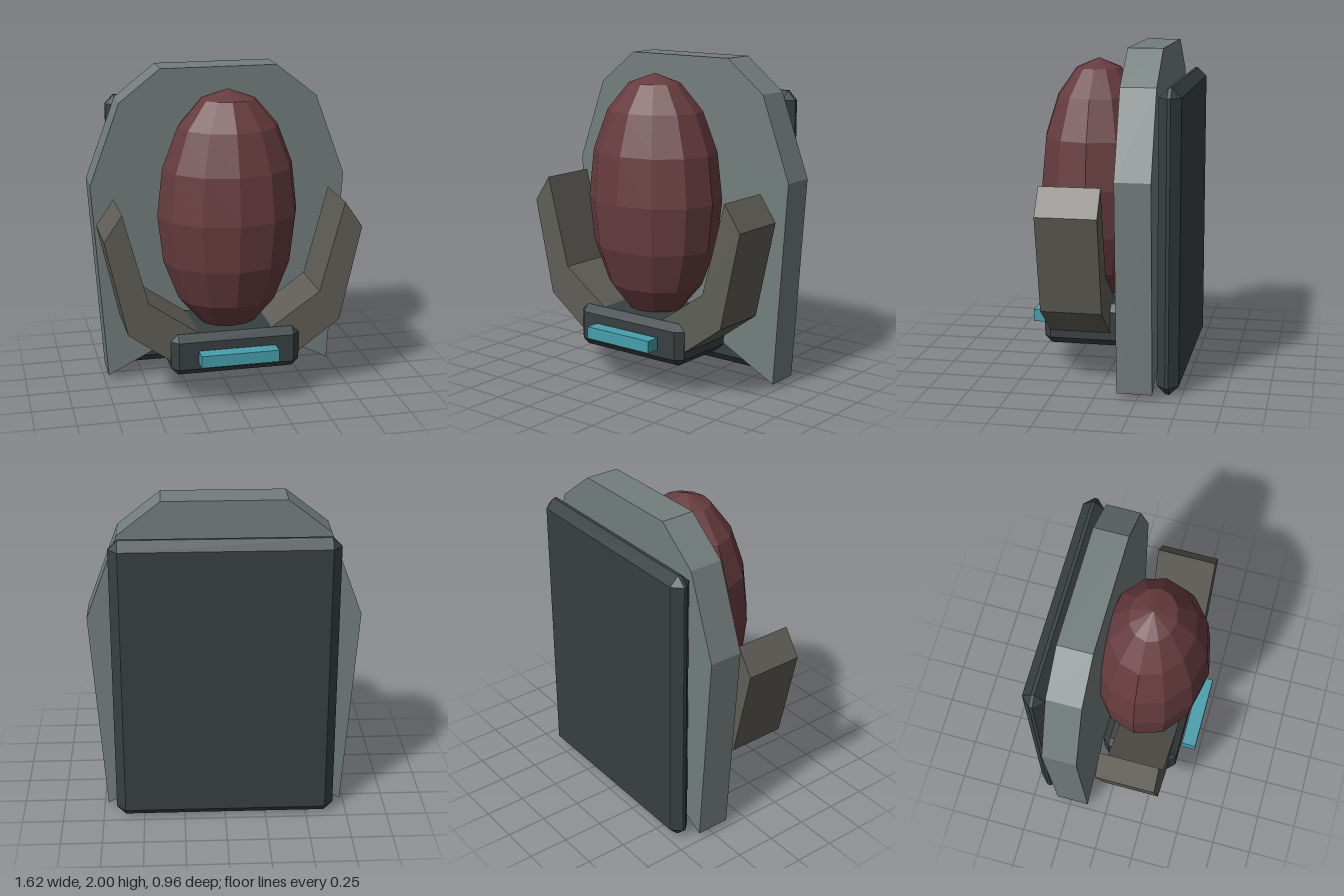
import * as THREE from 'three';
import { ConvexGeometry } from 'three/addons/geometries/ConvexGeometry.js';

const mat = (color) => new THREE.MeshStandardMaterial({ color, flatShading: true });

// Box with every edge chamfered by b, spanning min to max
function chamferBox(min, max, b) {
  const c = min.map((v, i) => (v + max[i]) / 2);
  const h = min.map((v, i) => (max[i] - v) / 2);
  const points = [];
  for (const sx of [-1, 1]) for (const sy of [-1, 1]) for (const sz of [-1, 1]) {
    const s = [sx, sy, sz];
    for (let axis = 0; axis < 3; axis++) {
      points.push(new THREE.Vector3(...s.map((v, i) => c[i] + v * (i === axis ? h[i] : h[i] - b))));
    }
  }
  return new ConvexGeometry(points);
}

// Front outline extruded between two depths
function slab(outline, zBack, zFront) {
  const shape = new THREE.Shape(outline.map(([x, y]) => new THREE.Vector2(x, y)));
  const geo = new THREE.ExtrudeGeometry(shape, { depth: zFront - zBack, bevelEnabled: false });
  return geo.translate(0, 0, zBack);
}

export function createModel() {
  const group = new THREE.Group();
  const add = (name, geo, material) => {
    const mesh = new THREE.Mesh(geo, material);
    mesh.name = name;
    group.add(mesh);
    return mesh;
  };
  const dark = mat(0x384042);
  const shellGrey = mat(0x737e7d);
  const armGrey = mat(0x5f5e57);

  // Flat plate at the back
  add('backPlate', chamferBox([-0.67, 0, -0.48], [0.67, 1.8, -0.35], 0.055), dark);

  // Faceted shield with two pointed feet
  const half = [[0.3, 0.25], [0.725, 0.03], [0.81, 1.29], [0.62, 1.8], [0.365, 2]];
  const mirrored = half.map(([x, y]) => [-x, y]).reverse();
  add('shield', slab([...half, ...mirrored], -0.34, -0.13), shellGrey);

  // Egg-shaped body
  const egg = new THREE.SphereGeometry(1, 12, 8).scale(0.435, 0.76, 0.36);
  add('eggBody', egg, mat(0x673c3f)).position.set(0, 1.15, 0.11);

  // Base block and its light bar
  add('baseBlock', chamferBox([-0.4, 0.2, -0.11], [0.4, 0.46, 0.38], 0.043), dark);
  add('lightBar', new THREE.BoxGeometry(0.48, 0.075, 0.09), mat(0x479fac))
    .position.set(0, 0.327, 0.435);

  // Bent arms rising on both sides
  const arm = [[0.32, 0.23], [0.4, 0.29], [0.66, 0.48], [0.79, 1.07], [0.68, 1.23], [0.53, 0.67], [0.2, 0.44]];
  for (const [name, side] of [['leftArm', 1], ['rightArm', -1]]) {
    add(name, slab(arm.map(([x, y]) => [x * side, y]), -0.03, 0.335), armGrey);
  }

  return group;
}
